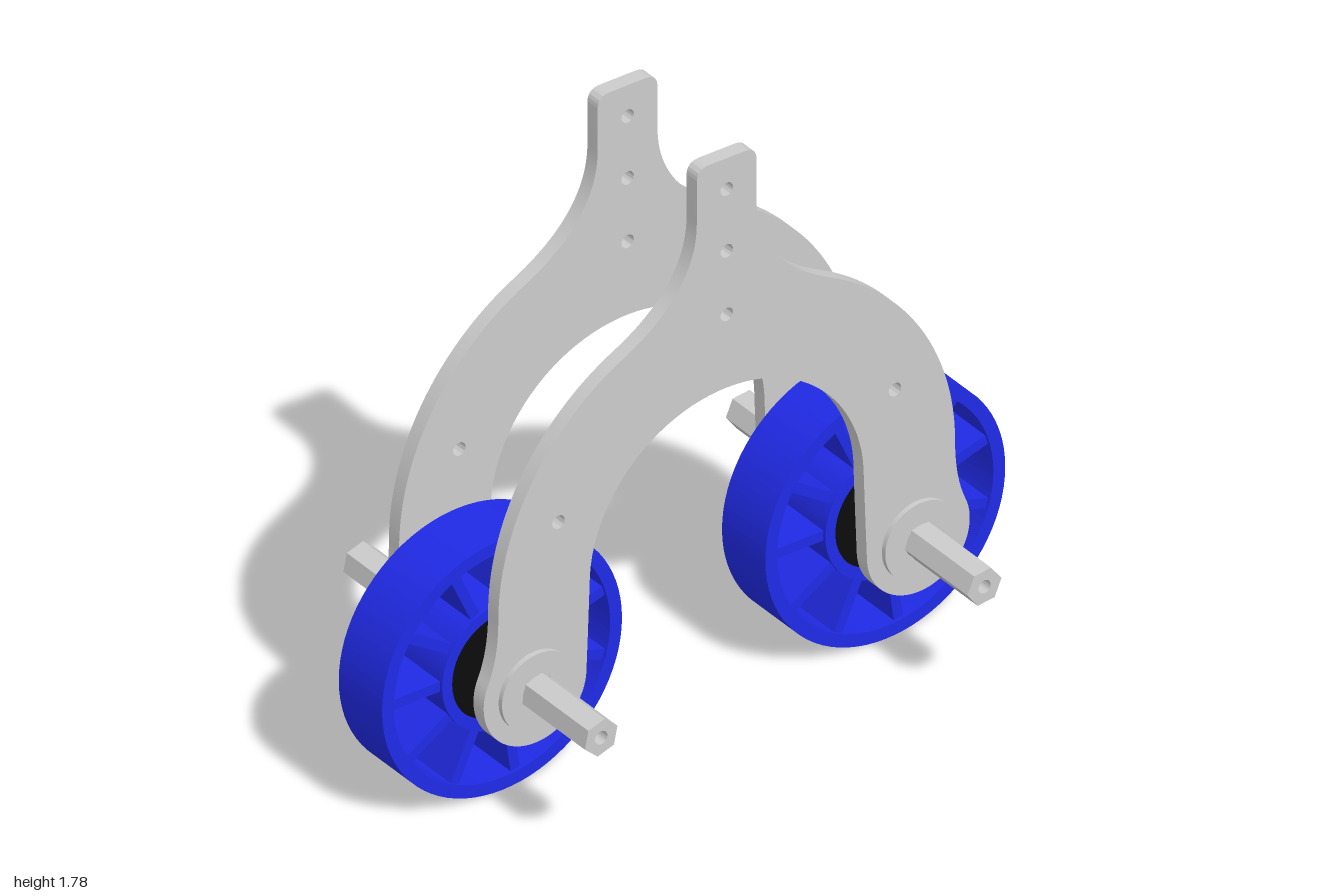
import * as THREE from 'three';
import { toCreasedNormals } from 'three/addons/utils/BufferGeometryUtils.js';

const grey = new THREE.MeshStandardMaterial({ color: 0xcccccc });
const blue = new THREE.MeshStandardMaterial({ color: 0x202ae6 });
const black = new THREE.MeshStandardMaterial({ color: 0x0c0c0c });

const AXLE_X = 0.615, AXLE_Y = 0.385, BORE = 0.05;

function circle(PathType, x, y, r) {
  const p = new PathType();
  p.absarc(x, y, r, 0, Math.PI * 2, false);
  return p;
}

// Extrude a shape from z0 to z1, keeping hard edges sharp
function slab(name, shape, z0, z1, material, segments = 24) {
  const geo = new THREE.ExtrudeGeometry(shape, { depth: z1 - z0, bevelEnabled: false, curveSegments: segments });
  geo.translate(0, 0, z0);
  const mesh = new THREE.Mesh(toCreasedNormals(geo, 0.5), material);
  mesh.name = name;
  return mesh;
}

function ring(name, outer, inner, z0, z1, material) {
  const s = circle(THREE.Shape, 0, 0, outer);
  s.holes.push(circle(THREE.Path, 0, 0, inner));
  return slab(name, s, z0, z1, material, 40);
}

// Arched fork plate with a neck on top and a round lug at each foot
function plateShape() {
  const r = 0.733, cy = 0.64, a = 1.1, lug = 0.165, t = 0.44;
  const ax = r * Math.cos(a), ay = cy + r * Math.sin(a);
  const lx = AXLE_X + lug * Math.cos(t), ly = AXLE_Y + lug * Math.sin(t);
  const s = new THREE.Shape();
  // right foot, inner edge to lug and up the outside
  s.moveTo(0.44, cy);
  s.quadraticCurveTo(0.445, 0.5, AXLE_X - lug, AXLE_Y);
  s.absarc(AXLE_X, AXLE_Y, lug, Math.PI, Math.PI * 2 + t, false);
  s.quadraticCurveTo(r, 0.53, r, cy);
  s.absarc(0, cy, r, 0, a, false);
  // neck
  s.quadraticCurveTo(0.096, 1.414, 0.096, 1.62);
  s.lineTo(0.096, 1.745);
  s.quadraticCurveTo(0.096, 1.785, 0.056, 1.785);
  s.lineTo(-0.056, 1.785);
  s.quadraticCurveTo(-0.096, 1.785, -0.096, 1.745);
  s.lineTo(-0.096, 1.62);
  s.quadraticCurveTo(-0.096, 1.414, -ax, ay);
  // other foot
  s.absarc(0, cy, r, Math.PI - a, Math.PI, false);
  s.quadraticCurveTo(-r, 0.53, -lx, ly);
  s.absarc(-AXLE_X, AXLE_Y, lug, Math.PI - t, Math.PI * 2, false);
  s.quadraticCurveTo(-0.445, 0.5, -0.44, cy);
  // inner arch
  s.absarc(0, cy, 0.44, Math.PI, 0, true);
  for (const [x, y] of [[0, 1.69], [0, 1.5], [0, 1.305], [0.54, 0.87], [-0.54, 0.87]])
    s.holes.push(circle(THREE.Path, x, y, 0.02));
  for (const x of [AXLE_X, -AXLE_X]) s.holes.push(circle(THREE.Path, x, AXLE_Y, BORE));
  return s;
}

function makeWheel() {
  const wheel = new THREE.Group();
  wheel.name = 'wheel';
  wheel.add(ring('rim', 0.385, 0.347, -0.095, 0.095, blue));
  wheel.add(ring('hub', 0.192, 0.16, -0.095, 0.095, blue));
  wheel.add(ring('hubCore', 0.161, BORE, -0.085, 0.085, black));
  const count = 11;
  for (let i = 0; i < count; i++) {
    const a = Math.PI + (i / count) * Math.PI * 2;
    const spoke = new THREE.Mesh(new THREE.BoxGeometry(0.17, 0.03, 0.17), blue);
    spoke.name = 'spoke';
    spoke.position.set(0.268 * Math.cos(a), 0.268 * Math.sin(a), 0);
    spoke.rotation.z = a;
    wheel.add(spoke);
  }
  return wheel;
}

// Hexagonal shaft with a hole along its length
function makeAxle(turn) {
  const s = new THREE.Shape();
  for (let i = 0; i < 6; i++) {
    const a = turn + (i * Math.PI) / 3;
    const x = 0.055 * Math.cos(a), y = 0.055 * Math.sin(a);
    if (i) s.lineTo(x, y); else s.moveTo(x, y);
  }
  s.closePath();
  s.holes.push(circle(THREE.Path, 0, 0, 0.02));
  return slab('axle', s, -0.53, 0.53, grey, 12);
}

export function createModel() {
  const model = new THREE.Group();
  model.name = 'twinWheelFork';

  const shape = plateShape();
  model.add(slab('frontPlate', shape, 0.195, 0.24, grey));
  model.add(slab('backPlate', shape, -0.24, -0.195, grey));

  for (const side of [1, -1]) {
    const unit = new THREE.Group();
    unit.name = side > 0 ? 'leftWheelUnit' : 'rightWheelUnit';
    unit.position.set(side * AXLE_X, AXLE_Y, 0);
    unit.add(makeWheel(), makeAxle(side > 0 ? 0.12 : 0.32));
    // flanged bearings on the outer faces of the plates
    unit.add(ring('frontBearing', 0.117, BORE, 0.24, 0.255, grey));
    unit.add(ring('backBearing', 0.117, BORE, -0.255, -0.24, grey));
    model.add(unit);
  }
  return model;
}
